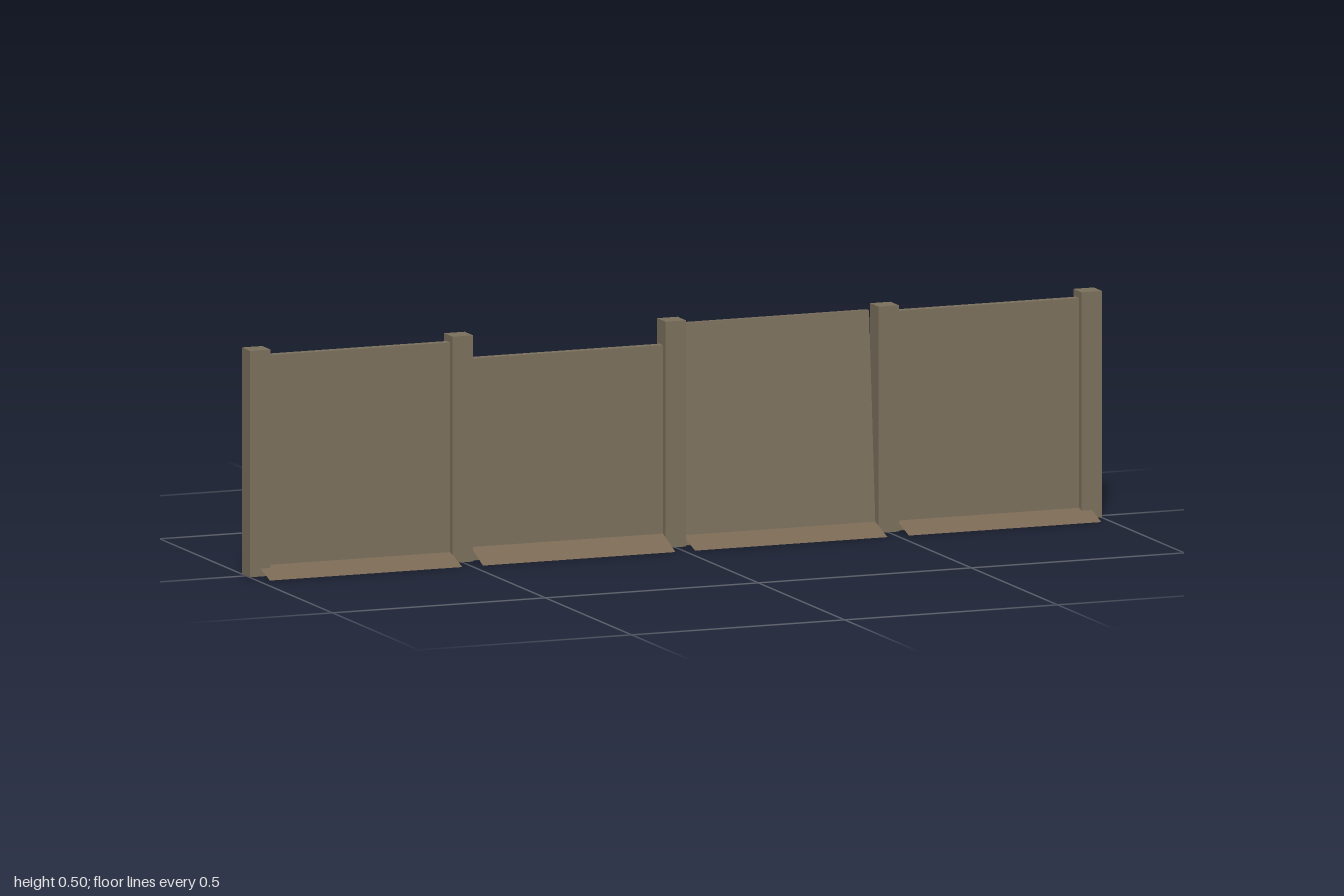
import * as THREE from 'three';

export function createModel() {
  const model = new THREE.Group();
  model.name = 'panelFence';

  const wood = new THREE.MeshStandardMaterial({ color: 0x7a6f5c });
  wood.name = 'weathered wood';
  const earth = new THREE.MeshStandardMaterial({ color: 0x7a6854, side: THREE.DoubleSide });
  earth.name = 'brown earth';

  // Square posts, standing on the ground
  for (const x of [-0.976, -0.501, -0.001, 0.499, 0.976]) {
    const post = new THREE.Mesh(new THREE.BoxGeometry(0.048, 0.5, 0.048), wood);
    post.name = 'post';
    post.position.set(x, 0.25, 0);
    model.add(post);
  }

  // Sloping strip of ground: top edge inside the panel, outer edge at y = 0
  function bank(width, rise, side) {
    const depth = 0.079;
    const geometry = new THREE.PlaneGeometry(width, Math.hypot(depth, rise));
    geometry.rotateX(-Math.atan2(depth, rise));
    geometry.translate(0, rise / 2, depth / 2);
    if (side < 0) geometry.rotateY(Math.PI);
    const mesh = new THREE.Mesh(geometry, earth);
    mesh.name = side > 0 ? 'frontBank' : 'backBank';
    return mesh;
  }

  // Four bays: one panel is shorter, one leans backwards
  const bays = [
    { x: -0.75, height: 0.485, lean: 0, rise: 0.025 },
    { x: -0.25, height: 0.446, lean: 0, rise: 0.034 },
    { x: 0.248, height: 0.485, lean: -0.0785, rise: 0.025 },
    { x: 0.75, height: 0.485, lean: 0, rise: 0.025 },
  ];
  for (const { x, height, lean, rise } of bays) {
    const bay = new THREE.Group();
    bay.name = 'bay';
    bay.position.x = x;

    const geometry = new THREE.BoxGeometry(0.452, height, 0.02);
    geometry.translate(0, height / 2, 0);
    const panel = new THREE.Mesh(geometry, wood);
    panel.name = 'panel';
    panel.rotation.x = lean;
    bay.add(panel, bank(0.452, rise, 1), bank(0.452, rise, -1));
    model.add(bay);
  }
  return model;
}
